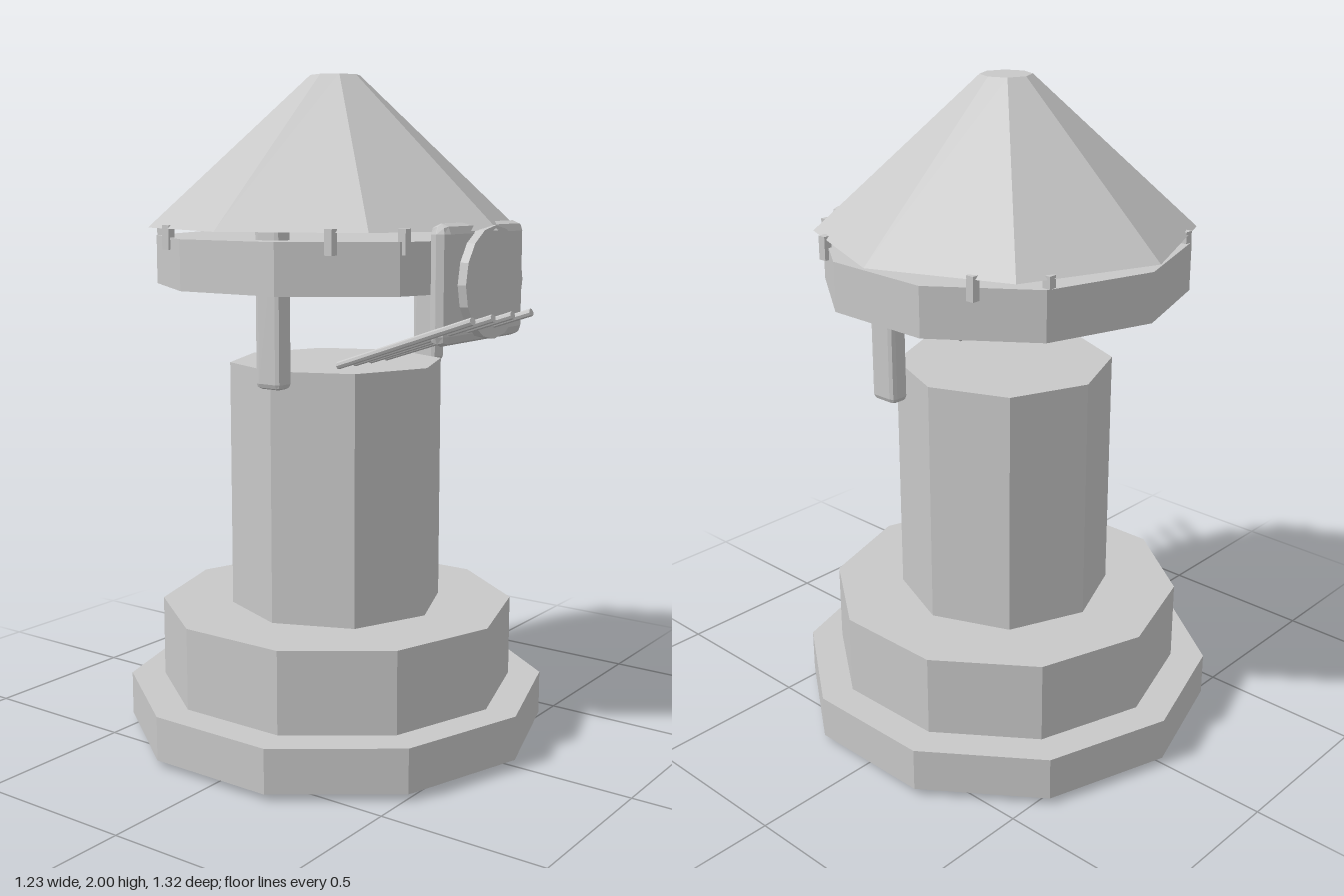
import * as THREE from 'three';
import { RoundedBoxGeometry } from 'three/addons/geometries/RoundedBoxGeometry.js';

export function createModel() {
  const model = new THREE.Group();
  const stone = new THREE.MeshStandardMaterial({ color: 0xc8c8c8, flatShading: true });
  stone.name = 'pale grey stone';

  function add(name, geometry, x, y, z) {
    const mesh = new THREE.Mesh(geometry, stone);
    mesh.name = name;
    mesh.position.set(x, y, z);
    model.add(mesh);
    return mesh;
  }

  // Faceted tower tier between two heights
  function tier(name, rTop, rBottom, y0, y1, sides, z) {
    add(name, new THREE.CylinderGeometry(rTop, rBottom, y1 - y0, sides), 0, (y0 + y1) / 2, z);
  }

  // Tower body
  tier('plinthSkirt', 0.645, 0.645, 0.02, 0.153, 10, -0.013);
  tier('plinth', 0.543, 0.543, 0, 0.4, 10, -0.01);
  tier('column', 0.326, 0.326, 0.4, 1.15, 8, -0.01);
  tier('gallery', 0.543, 0.543, 1.385, 1.53, 10, -0.01);
  tier('roof', 0.075, 0.56, 1.555, 2, 8, -0.015);

  // Hanging side posts and short struts carrying the roof
  for (const side of [-1, 1]) {
    add('hangingPost', new RoundedBoxGeometry(0.06, 0.46, 0.09, 1, 0.016), side * 0.405, 1.345, 0.065);
    for (const end of [-1, 1]) {
      for (const [x, z] of [[0.3, 0.435], [0.435, 0.29]]) {
        add('roofStrut', new THREE.BoxGeometry(0.025, 0.07, 0.025), side * x, 1.53, end * z - 0.005);
      }
    }
  }

  // Bevelled front plate with a round dial
  add('dialPlate', new RoundedBoxGeometry(0.45, 0.335, 0.06, 1, 0.029), 0, 1.41, 0.482);
  const dial = new THREE.CylinderGeometry(0.159, 0.159, 0.035, 16);
  dial.rotateX(Math.PI / 2);
  add('dial', dial, 0, 1.41, 0.521);

  // Slanted rods fanning out to the front right
  for (let i = 0; i < 4; i++) {
    const inner = new THREE.Vector3(-0.08 * i, 1.172, 0.17);
    const outer = new THREE.Vector3(-0.106 * i, 1.332, 0.655);
    const direction = outer.clone().sub(inner);
    const middle = inner.clone().add(outer).multiplyScalar(0.5);
    const rod = add('rod', new THREE.CylinderGeometry(0.011, 0.011, direction.length(), 8), middle.x, middle.y, middle.z);
    rod.quaternion.setFromUnitVectors(new THREE.Vector3(0, 1, 0), direction.normalize());
  }

  return model;
}
